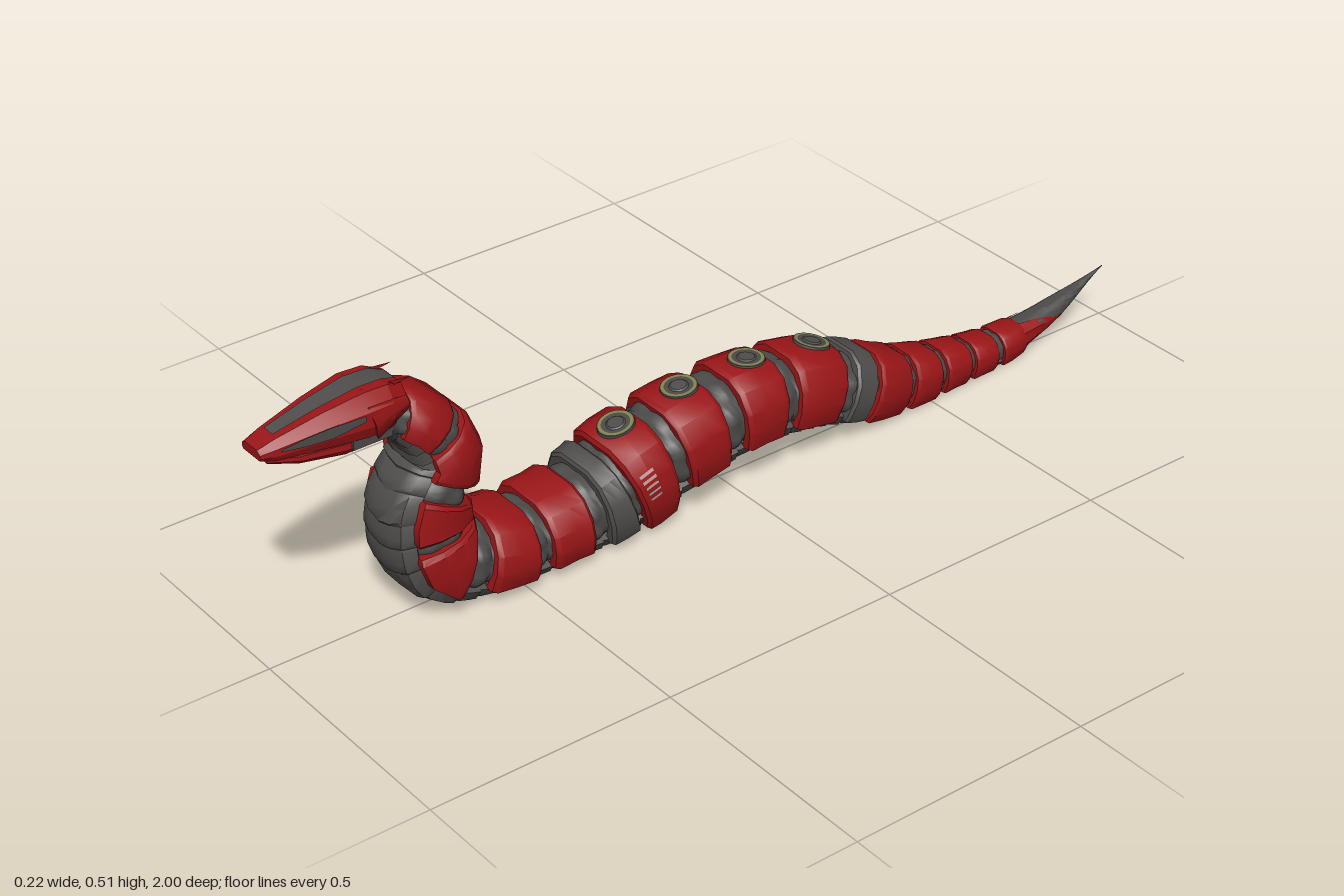
import * as THREE from 'three';
import { toCreasedNormals } from 'three/addons/utils/BufferGeometryUtils.js';

const mat = (name, color) => Object.assign(new THREE.MeshStandardMaterial({ color }), { name });
const red = mat('red armour', 0x9a1517);
const grey = mat('grey belly', 0x504e4c);
const dark = mat('dark muscle', 0x4b4a49);
const olive = mat('olive ring', 0x84844a);
const pale = mat('pale marking', 0xbb9894);

// Spine stations from head to tail: z, y, half width, half height
const SPINE = [
  [0.77, 0.445, 0.055, 0.045], [0.69, 0.41, 0.08, 0.055], [0.635, 0.325, 0.092, 0.069],
  [0.675, 0.215, 0.092, 0.086], [0.655, 0.115, 0.1, 0.088], [0.527, 0.073, 0.104, 0.073],
  [0.4, 0.073, 0.1, 0.073], [0.303, 0.085, 0.104, 0.087], [0.225, 0.11, 0.105, 0.098],
  [0.093, 0.14, 0.1, 0.092], [-0.05, 0.153, 0.095, 0.082], [-0.195, 0.137, 0.092, 0.081],
  [-0.3, 0.103, 0.088, 0.075], [-0.38, 0.075, 0.077, 0.065], [-0.485, 0.053, 0.066, 0.051],
  [-0.572, 0.043, 0.054, 0.042], [-0.652, 0.036, 0.048, 0.036], [-0.725, 0.035, 0.043, 0.034],
  [-0.85, 0.058, 0.026, 0.024], [-1, 0.113, 0.0008, 0.0008],
];
const LAST = SPINE.length - 1;
const path = new THREE.CatmullRomCurve3(SPINE.map(p => new THREE.Vector3(0, p[1], p[0])));
path.arcLengthDivisions = 400;

// Position, back direction and size at station u
function frame(u) {
  const t = THREE.MathUtils.clamp(u / LAST, 0, 1);
  const i = Math.min(Math.floor(t * LAST), LAST - 1), f = t * LAST - i;
  const k = f * f * (3 - 2 * f) * 0.4 + f * 0.6;
  const tan = path.getTangent(t);
  return {
    c: path.getPoint(t), n: new THREE.Vector3(0, -tan.z, tan.y),
    w: THREE.MathUtils.lerp(SPINE[i][2], SPINE[i + 1][2], k),
    h: THREE.MathUtils.lerp(SPINE[i][3], SPINE[i + 1][3], k),
  };
}

// Point on the cross-section, kept above the ground
function bodyPoint(u, x, n) {
  const f = frame(u);
  const p = f.c.clone().addScaledVector(f.n, n * f.h);
  p.x = x * f.w;
  p.y = Math.max(p.y, 0);
  return p;
}

// Surface through rows of points
function loft(rows, crease = 0.6) {
  const cols = rows[0].length, pos = [], idx = [];
  rows.forEach(r => r.forEach(p => pos.push(p.x, p.y, p.z)));
  for (let i = 0; i < rows.length - 1; i++) {
    for (let j = 0; j < cols - 1; j++) {
      const a = i * cols + j, b = a + cols;
      idx.push(a, b, a + 1, b, b + 1, a + 1);
    }
  }
  const g = new THREE.BufferGeometry();
  g.setAttribute('position', new THREE.Float32BufferAttribute(pos, 3));
  g.setIndex(idx);
  return toCreasedNormals(g, crease);
}

// Armour shell with bevelled rims; low is how far it wraps towards the belly
function plate(u, half, low = -0.64, outer = 1) {
  const edge = 0.93 + (low + 0.6) * 0.45;
  const flank = [[0.4, 1], [0.75, 0.78], [0.96, 0.32], [1, -0.15], [0.93, -0.6], [edge, low], [edge - 0.17, low]];
  const profile = [...flank].reverse().concat(flank.map(([x, n]) => [-x, n]));
  const speed = path.getPoint((u + 0.05) / LAST).distanceTo(path.getPoint((u - 0.05) / LAST)) / 0.1;
  const rows = [[-1, 0.8], [-1, 0.96], [-0.82, 1.02], [0, 1.02], [0.82, 1.02], [1, 0.96], [1, 0.8]];
  return loft(rows.map(([f, s]) =>
    profile.map(([x, n]) => bodyPoint(u + f * half / speed, x * s * outer, n * s * outer))));
}

// Thin patch on a flank; stations are u, lower angle, upper angle
function flankPatch(side, stations, k) {
  return loft(stations.map(([u, a0, a1]) => {
    const pts = [0, 0.33, 0.67, 1].map(f => {
      const a = a0 + (a1 - a0) * f;
      return bodyPoint(u, side * Math.cos(a) * k, Math.sin(a) * k);
    });
    return side > 0 ? pts : pts.reverse();
  }));
}

// Lumpy muscle core ending in the smooth tail spike
function core() {
  const rows = [];
  for (let i = 0; i <= 320; i++) {
    const s = i / 320, u = path.getUtoTmapping(s) * LAST;
    const tail = THREE.MathUtils.smoothstep(u, 16.8, 17.8);
    rows.push(Array.from({ length: 33 }, (_, j) => {
      const a = (j % 32) / 32 * Math.PI * 2;
      const bump = Math.abs(Math.sin(s * Math.PI * 50 + Math.cos(a) ** 2)) * Math.abs(Math.sin(a * 4));
      const r = THREE.MathUtils.lerp(0.82 + 0.12 * bump, 0.98, tail);
      return bodyPoint(u, Math.cos(a) * r, Math.sin(a) * r);
    }));
  }
  return loft(rows, 0.9);
}

// One overlapping chevron belly scale between arc positions
function bellyScale(s0, s1) {
  const across = [[-0.55, -0.45], [-0.78, -0.62], [-0.64, -0.9], [-0.35, -0.99], [0, -1],
    [0.35, -0.99], [0.64, -0.9], [0.78, -0.62], [0.55, -0.45]];
  const rows = [[-0.15, 0.93], [0.15, 0.975], [0.6, 0.99], [0.95, 1], [1.08, 0.95]];
  return loft(rows.map(([f, k]) => across.map(([x, n]) => {
    const s = s0 + (s1 - s0) * (f + 0.45 * (0.5 - Math.abs(x)));
    return bodyPoint(path.getUtoTmapping(Math.min(Math.max(s, 0), 1)) * LAST, x * k, n * k);
  })), 0.8);
}

// Head sections: z, half width, top, bottom
const SKULL = [[1, 0.03, 0.462, 0.444], [0.97, 0.038, 0.474, 0.437], [0.88, 0.053, 0.496, 0.432],
  [0.8, 0.065, 0.51, 0.428], [0.75, 0.063, 0.508, 0.43], [0.715, 0.045, 0.494, 0.445]];
const JAW = [[0.985, 0.028, 0.446, 0.432], [0.93, 0.041, 0.441, 0.417], [0.84, 0.046, 0.437, 0.402], [0.765, 0.04, 0.437, 0.4]];
const LOOP = [[1, 0.3], [0.97, 0.65], [0.64, 1], [-0.64, 1], [-0.97, 0.65], [-1, 0.3], [-0.85, 0], [0.85, 0], [1, 0.3]];

const headPoint = ([z, w, top, bot], x, v, out = 0) =>
  new THREE.Vector3(x * w + Math.sign(x) * out, bot + (top - bot) * v, z);

function headShell(sections) {
  const ring = s => LOOP.map(([x, v]) => headPoint(s, x, v));
  const cap = s => LOOP.map(() => headPoint(s, 0, 0.5));
  return loft([cap(sections[0]), ...sections.map(ring), cap(sections.at(-1))], 0.3);
}

const skullAt = z => {
  const i = Math.max(1, SKULL.findIndex(s => s[0] <= z));
  const a = SKULL[i - 1], b = SKULL[i], k = (a[0] - z) / (a[0] - b[0]);
  return a.map((v, j) => v + (b[j] - v) * k);
};

export function createModel() {
  const model = new THREE.Group();
  const add = (name, geometry, material, parent = model) => {
    const m = new THREE.Mesh(geometry, material);
    m.name = name;
    parent.add(m);
    return m;
  };
  const group = name => {
    const g = new THREE.Group();
    g.name = name;
    model.add(g);
    return g;
  };

  add('muscleCore', core(), dark);

  // Belly scales
  const belly = group('belly');
  const COUNT = 50, START = 0.025, END = 0.89, STEP = (END - START) / COUNT;
  for (let i = 0; i < COUNT; i++) {
    add('bellyScale', bellyScale(START + i * STEP, START + (i + 1) * STEP), grey, belly);
  }

  // Back armour: station, half length, lower reach
  const armour = group('armour');
  [[0.95, 0.035], [2, 0.042], [3, 0.031], [3.88, 0.04], [5, 0.047], [6, 0.044], [8, 0.043, -0.95], [9, 0.049],
    [10, 0.049], [11, 0.056], [12.96, 0.046, -0.9], [14, 0.038, -0.92], [15, 0.035, -0.92], [16, 0.032, -0.92],
    [17, 0.032, -0.92]]
    .forEach(([u, half, low]) => add('armourPlate', plate(u, half, low), red, armour));
  [[7.08, 0.027], [12, 0.029]].forEach(([u, half]) => add('greyBand', plate(u, half, -0.75, 0.98), grey, armour));

  // Red flanks running into the tail spike, pale dashes on the shoulder plate
  for (const side of [1, -1]) {
    add('tailFlank', flankPatch(side, [[17.3, -0.9, 1.2], [17.6, -0.85, 0.95], [17.85, -0.7, 0.5], [18.12, -0.4, -0.35]], 1.04), red, armour);
    for (let i = 0; i < 5; i++) {
      const a = -0.08 + i * 0.13;
      add('paleDash', flankPatch(side, [[7.78, a, a + 0.06], [8.08, a, a + 0.06]], 1.037), pale, armour);
    }
  }

  // Round ports along the back
  [8.1, 9.1, 10.1, 11.1].forEach(u => {
    const port = group('backPort'), f = frame(u);
    port.position.copy(f.c).addScaledVector(f.n, f.h * 1.02 - 0.002);
    port.quaternion.setFromUnitVectors(new THREE.Vector3(0, 1, 0), f.n);
    add('portBase', new THREE.CylinderGeometry(0.036, 0.038, 0.012, 20), dark, port);
    add('portRing', new THREE.RingGeometry(0.028, 0.034, 24).rotateX(-Math.PI / 2), olive, port).position.y = 0.0066;
    add('portCap', new THREE.CylinderGeometry(0.016, 0.02, 0.003, 12), grey, port).position.y = 0.007;
  });

  // Head
  const head = group('head');
  add('skull', headShell(SKULL), red, head);
  add('jaw', headShell(JAW), red, head);
  add('mouthLining', new THREE.BoxGeometry(0.08, 0.02, 0.13), dark, head).position.set(0, 0.437, 0.85);
  add('throat', new THREE.BoxGeometry(0.1, 0.04, 0.08), dark, head).position.set(0, 0.43, 0.79);
  add('crownStripe', loft([0.965, 0.94, 0.88, 0.8, 0.75, 0.72].map(z => {
    const s = skullAt(z);
    return [0.36, -0.36].map(x => headPoint(s, x, 1).setY(s[2] + 0.003));
  })), grey, head);
  for (const side of [1, -1]) {
    // Slanted eye recess
    add('eyeSlot', loft([[0.965, 0.5, 0.6], [0.92, 0.36, 0.68], [0.87, 0.34, 0.68], [0.81, 0.5, 0.64]].map(([z, v0, v1]) => {
      const pts = [v0, v1].map(v => headPoint(skullAt(z), side, v, 0.002));
      return side > 0 ? pts : pts.reverse();
    })), dark, head);
    // Swept-back crest and cheek guards
    const crest = add('crestFin', new THREE.ConeGeometry(0.018, 0.1, 4).rotateX(-Math.PI / 2), red, head);
    crest.scale.y = 0.6;
    crest.position.set(side * 0.03, 0.5, 0.745);
    const cheek = add('cheekGuard', new THREE.CylinderGeometry(0.014, 0.036, 0.075, 4).rotateX(-Math.PI / 2), red, head);
    cheek.scale.x = 0.3;
    cheek.position.set(side * 0.058, 0.464, 0.757);
    cheek.rotation.x = 0.25;
  }
  return model;
}
